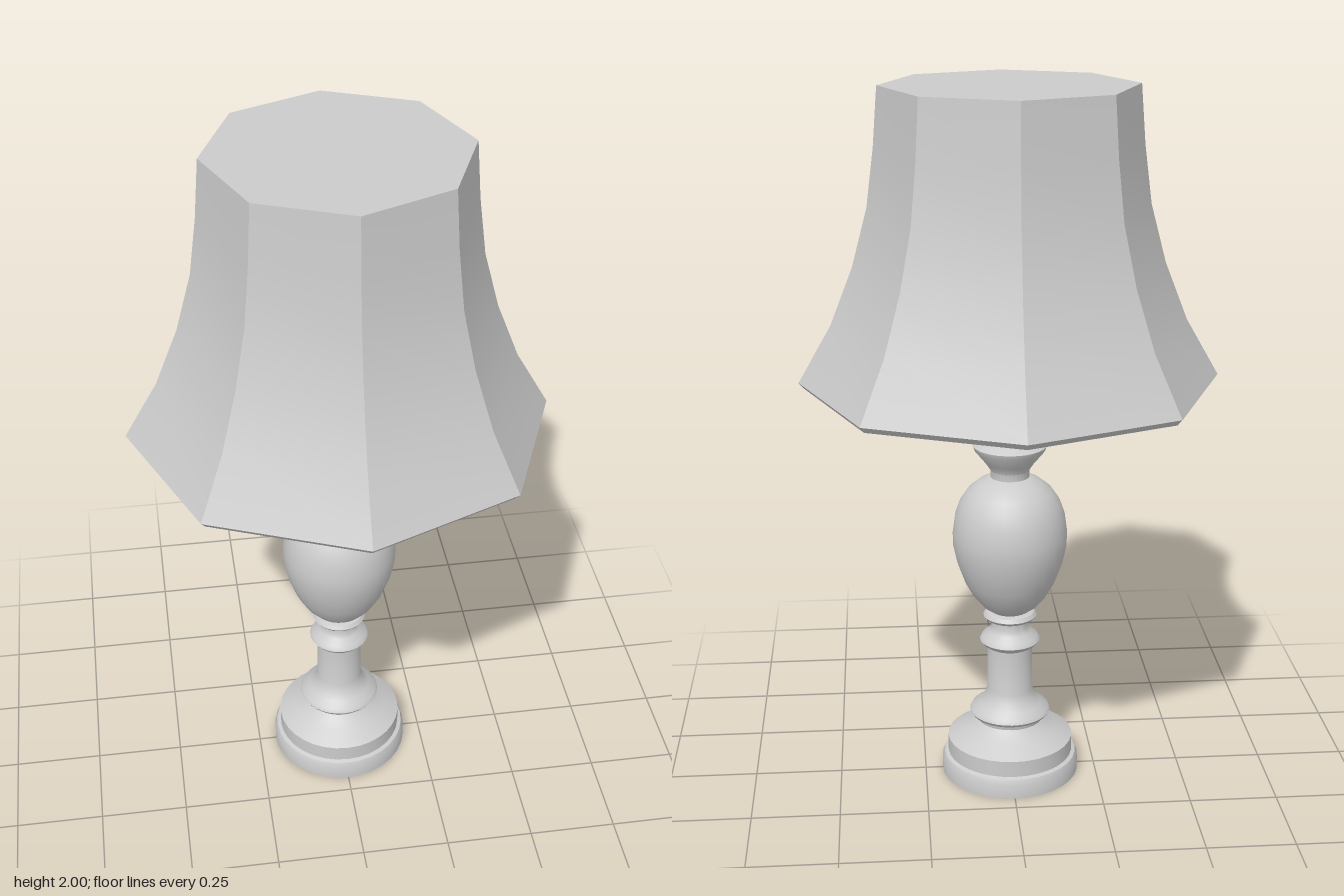
import * as THREE from 'three';
import { toCreasedNormals } from 'three/addons/utils/BufferGeometryUtils.js';

const material = new THREE.MeshStandardMaterial({ color: 0xcccccc });

// Turned part from a [radius, height] profile listed from bottom to top
function turned(name, profile, segments = 32, crease = 0.6) {
  const points = profile.map(([r, y]) => new THREE.Vector2(r, y));
  const geometry = toCreasedNormals(new THREE.LatheGeometry(points, segments), crease);
  const mesh = new THREE.Mesh(geometry, material);
  mesh.name = name;
  return mesh;
}

export function createModel() {
  const lamp = new THREE.Group();
  lamp.name = 'tableLamp';

  // Stepped round foot
  lamp.add(turned('base', [
    [0, 0], [0.2, 0], [0.2, 0.04], [0.193, 0.056], [0.182, 0.06], [0.182, 0.108],
    [0.165, 0.118], [0.135, 0.135], [0.11, 0.15], [0.095, 0.165], [0, 0.165],
  ]));

  // Column with its lower collar and upper rings
  lamp.add(turned('column', [
    [0, 0.16], [0.095, 0.16], [0.098, 0.175], [0.112, 0.182], [0.117, 0.19], [0.112, 0.2],
    [0.09, 0.215], [0.075, 0.235], [0.066, 0.26], [0.065, 0.395], [0.078, 0.403],
    [0.087, 0.415], [0.08, 0.428], [0.06, 0.442], [0.053, 0.455], [0.053, 0.475],
    [0.07, 0.483], [0.077, 0.492], [0.07, 0.502], [0.05, 0.508], [0, 0.508],
  ]));

  // Egg-shaped vase
  lamp.add(turned('vase', [
    [0, 0.5], [0.05, 0.503], [0.08, 0.525], [0.105, 0.555], [0.13, 0.6], [0.15, 0.655],
    [0.162, 0.71], [0.163, 0.75], [0.156, 0.8], [0.142, 0.84], [0.12, 0.873],
    [0.09, 0.898], [0.055, 0.915], [0, 0.916],
  ]));

  // Flared neck above the vase
  lamp.add(turned('neck', [
    [0, 0.91], [0.055, 0.91], [0.055, 0.935], [0.07, 0.958], [0.1, 0.995], [0.104, 1.008],
    [0.085, 1.02], [0.05, 1.033], [0.04, 1.04], [0.042, 1.048], [0.05, 1.055],
    [0.048, 1.063], [0.038, 1.068], [0, 1.068],
  ]));

  // Rod up to the shade
  lamp.add(turned('rod', [[0, 1.06], [0.038, 1.06], [0.038, 1.985], [0, 1.985]]));

  // Eight-sided shade: inner wall downwards, rim, then outer wall up to the closed top
  const wall = [[0.58, 1.2], [0.488, 1.36], [0.425, 1.52], [0.382, 1.68], [0.361, 1.84], [0.348, 2]];
  const inner = wall.slice(1, -1).reverse().map(([r, y]) => [r - 0.018, y]);
  lamp.add(turned('shade', [
    [0, 1.98], [0.331, 1.98], ...inner, [0.555, 1.205], [0.555, 1.183], [0.565, 1.183],
    ...wall, [0, 2],
  ], 8));

  return lamp;
}
